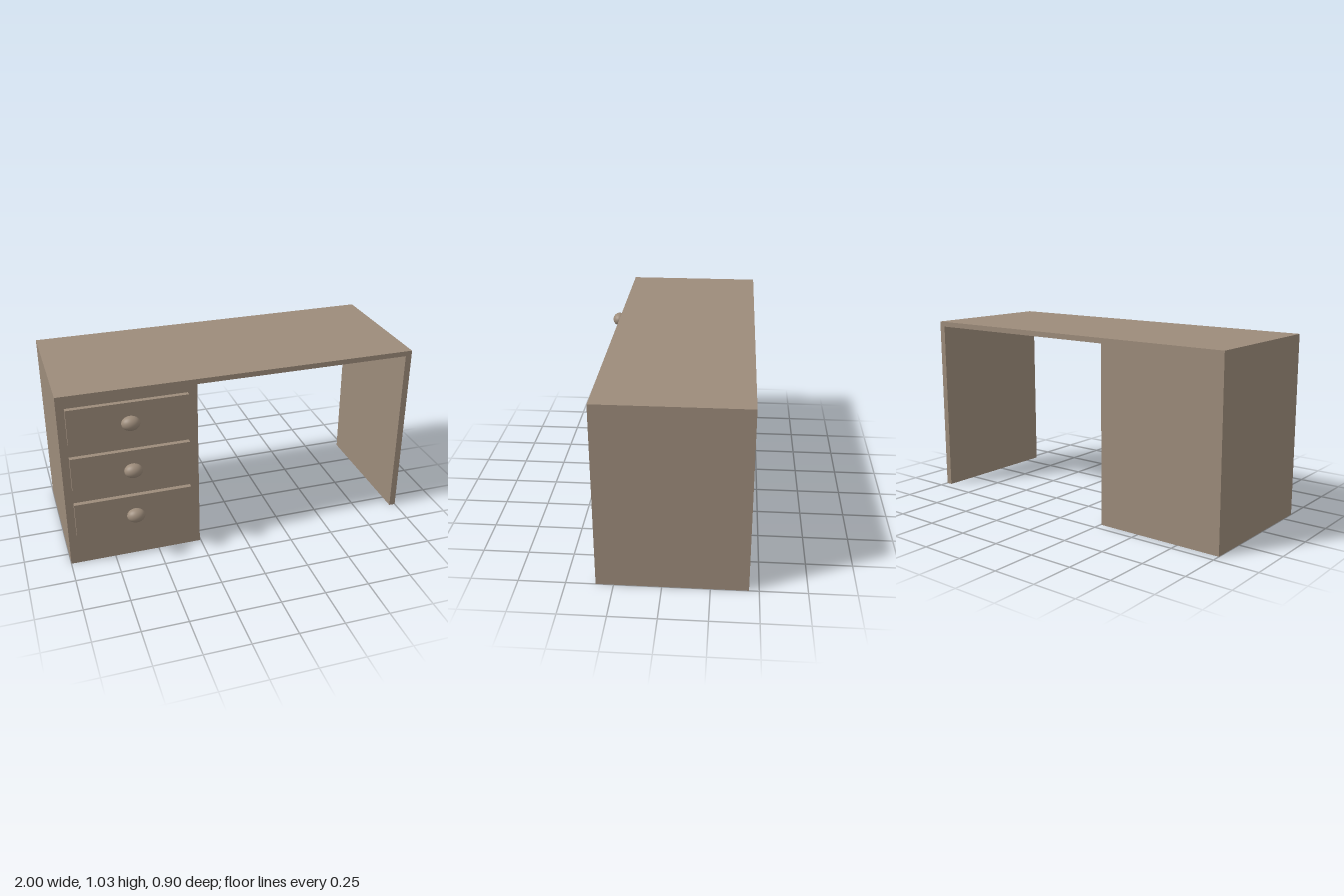
import * as THREE from 'three';

export function createModel() {
  const desk = new THREE.Group();
  desk.name = 'desk';
  const wood = new THREE.MeshStandardMaterial({ color: 0x9c8b7a });

  // Box given by its min and max on each axis
  function addBox(name, [x0, x1], [y0, y1], [z0, z1]) {
    const mesh = new THREE.Mesh(new THREE.BoxGeometry(x1 - x0, y1 - y0, z1 - z0), wood);
    mesh.position.set((x0 + x1) / 2, (y0 + y1) / 2, (z0 + z1) / 2);
    mesh.name = name;
    desk.add(mesh);
  }

  // Carcass: top, drawer pedestal and side panel share one depth
  const depth = [-0.448, 0.343];
  const underside = 1.0;
  addBox('desktop', [-1, 1], [underside, 1.029], depth);
  addBox('drawerPedestal', [-1, -0.256], [0, underside], depth);
  addBox('sidePanel', [0.964, 1], [0, underside], depth);

  // Three drawer fronts, each with an oval knob
  const knobGeometry = new THREE.SphereGeometry(1, 32, 24).scale(0.05, 0.039, 0.039);
  for (let i = 0; i < 3; i++) {
    const y = 0.293 + i * 0.284;
    addBox('drawerFront', [-0.957, -0.308], [y - 0.1, y + 0.1], [depth[1], 0.37]);
    const knob = new THREE.Mesh(knobGeometry, wood);
    knob.position.set(-0.632, y, 0.409);
    knob.name = 'drawerKnob';
    desk.add(knob);
  }
  return desk;
}
